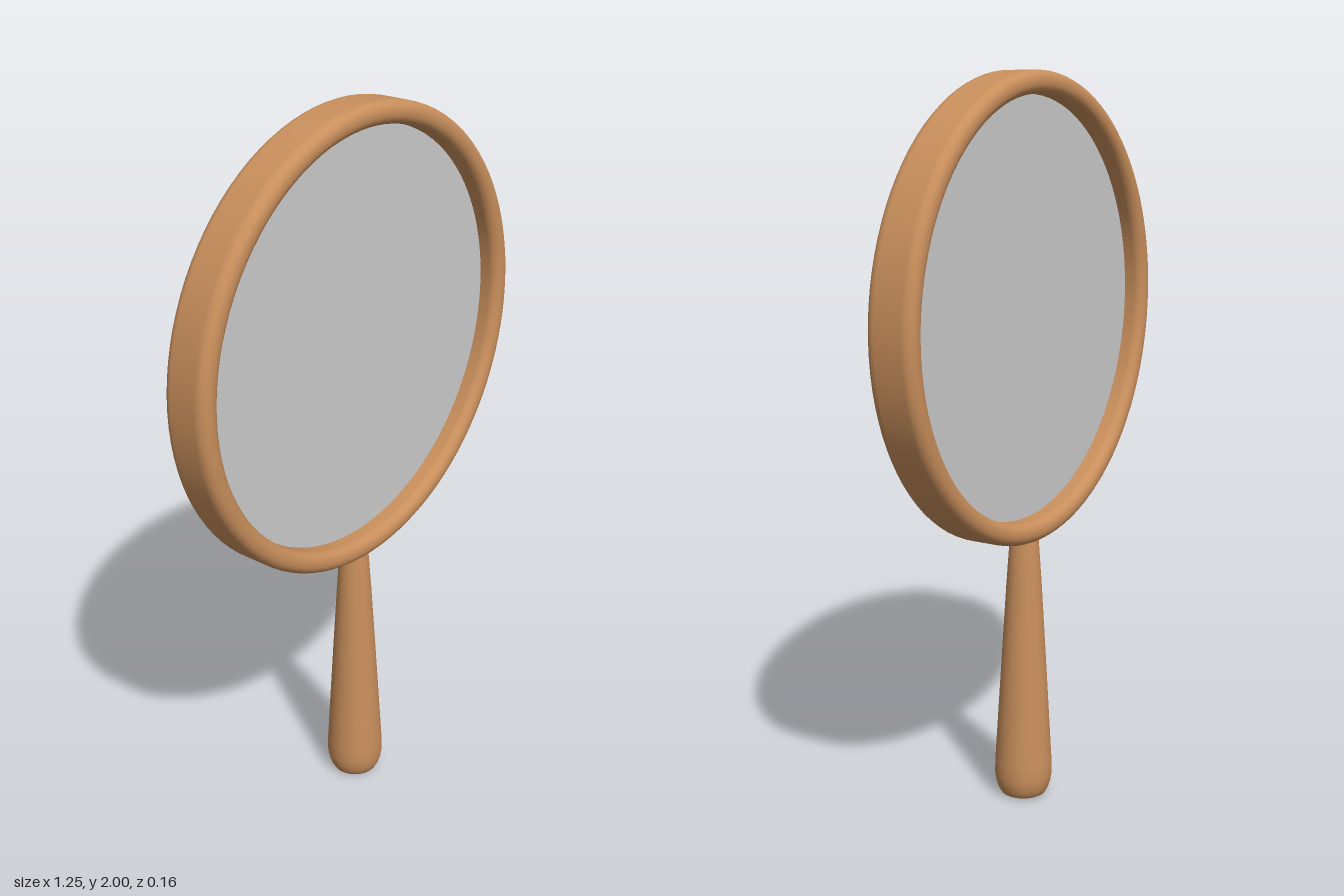
import * as THREE from 'three';

export function createModel() {
  const model = new THREE.Group();
  const wood = new THREE.MeshStandardMaterial({ color: 0xc98f5c });
  const glass = new THREE.MeshStandardMaterial({ color: 0xcccccc });

  const head = new THREE.Group();
  head.name = 'head';
  head.position.y = 1.376;
  head.rotation.y = 0.004;
  model.add(head);

  // Round frame: a slim rounded band swept around the glass
  const mid = 0.594, halfWidth = 0.03, halfDepth = 0.067, round = 0.027;
  const section = [];
  const corners = [[1, 1], [-1, 1], [-1, -1], [1, -1]];
  corners.forEach(([sx, sy], i) => {
    for (let k = 0; k <= 6; k++) {
      const a = (i + k / 6) * Math.PI / 2;
      section.push(new THREE.Vector2(
        mid + sx * (halfWidth - round) + round * Math.cos(a),
        sy * (halfDepth - round) + round * Math.sin(a)));
    }
  });
  section.push(section[0].clone());
  const frame = new THREE.Mesh(new THREE.LatheGeometry(section, 96), wood);
  frame.name = 'frame';
  frame.rotation.x = Math.PI / 2;
  head.add(frame);

  // Thin glass disc, visible from both sides
  const disc = new THREE.Mesh(new THREE.CylinderGeometry(0.58, 0.58, 0.02, 96), glass);
  disc.name = 'glass';
  disc.rotation.x = Math.PI / 2;
  head.add(disc);

  // Tapered handle with a softened, flat foot
  const profile = [[0, 0], [0.055, 0], [0.064, 0.005], [0.071, 0.018], [0.077, 0.036],
    [0.081, 0.06], [0.08, 0.1], [0.073, 0.22], [0.06, 0.44], [0.049, 0.62],
    [0.04, 0.75], [0.036, 0.775], [0, 0.775]].map(([r, y]) => new THREE.Vector2(r, y));
  const handle = new THREE.Mesh(new THREE.LatheGeometry(profile, 40), wood);
  handle.name = 'handle';
  handle.position.x = 0.009;
  handle.rotation.z = 0.007;
  model.add(handle);

  return model;
}
